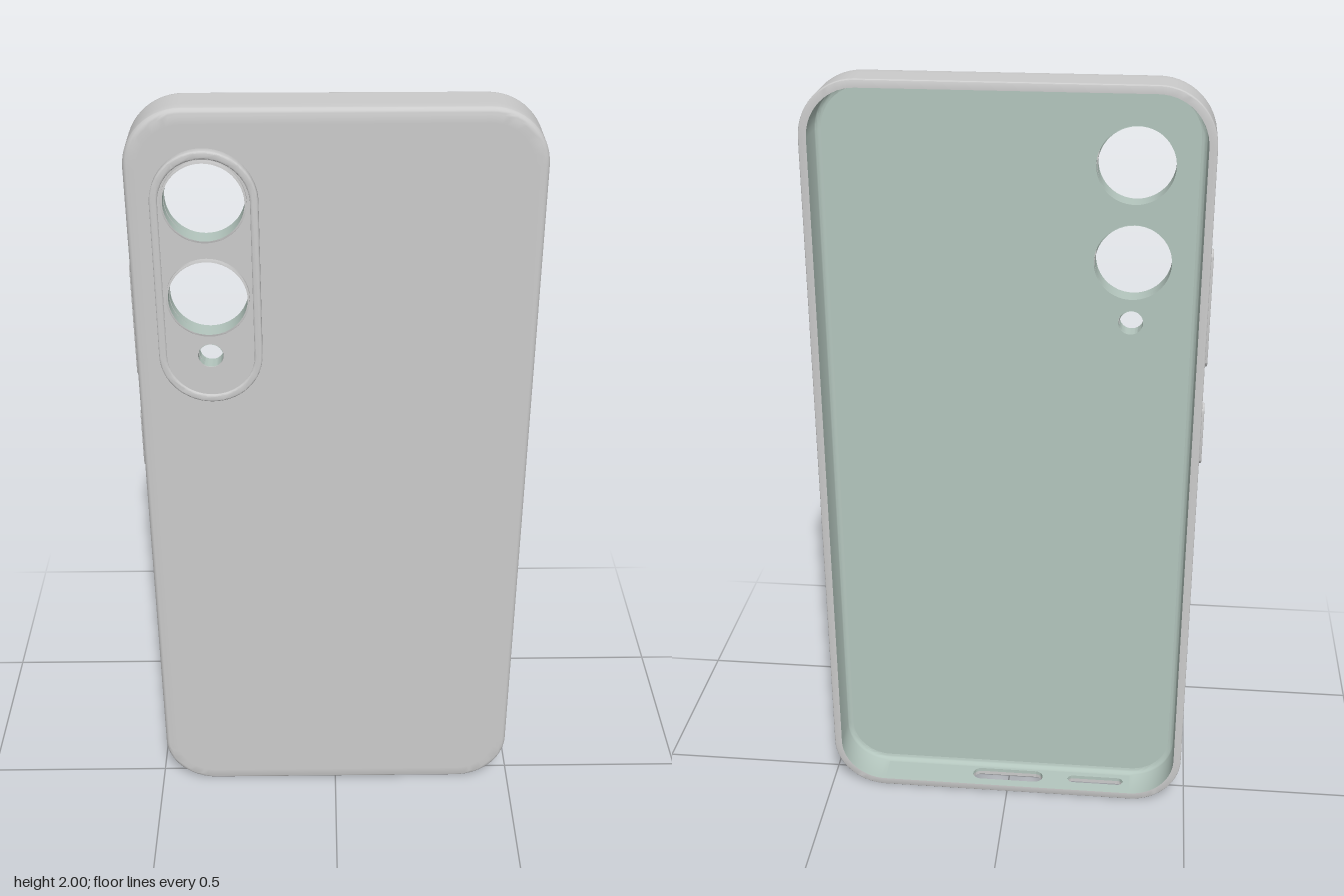
import * as THREE from 'three';
import { toCreasedNormals } from 'three/addons/utils/BufferGeometryUtils.js';

const W = 0.4875, H = 1, R = 0.14;            // body half width, half height, corner radius
const FLOOR = 0.02, FRONT = 0.045, BACK = -0.075, WALL = 0.02;
const BAND = [-0.066, 0.005];                 // flat strip of the walls holding the bottom slots
const CAM_X = -0.302, CAM_TOP = 1.785, CAM_LOW = 1.395;
const HOLES = [[1.79, 0.095], [1.55, 0.095], [CAM_LOW, 0.031]];

const grey = new THREE.MeshStandardMaterial({ color: 0xcccccc });
const greyThin = new THREE.MeshStandardMaterial({ color: 0xcccccc, side: THREE.DoubleSide });
const lining = new THREE.MeshStandardMaterial({ color: 0xb4c6be });
const liningThin = new THREE.MeshStandardMaterial({ color: 0xb4c6be, side: THREE.DoubleSide });

function addMesh(parent, name, geometry, material) {
  const mesh = new THREE.Mesh(toCreasedNormals(geometry, 0.6), material);
  mesh.name = name;
  parent.add(mesh);
  return mesh;
}

// Rounded rectangle, counter-clockwise, ending at the left end of the bottom edge
function outline(inset) {
  const points = [], steps = 14, r = R - inset;
  const corners = [[1, -1], [1, 1], [-1, 1], [-1, -1]];
  corners.forEach(([sx, sy], c) => {
    for (let i = 0; i <= steps; i++) {
      const a = (c - 1 + i / steps) * Math.PI / 2;
      points.push(new THREE.Vector2(sx * (W - R) + r * Math.cos(a), H + sy * (H - R) + r * Math.sin(a)));
    }
  });
  return points;
}

// Sweeps a profile of [inset, z] around the outline, leaving the slot panel open
function sweep(profile) {
  const positions = [], index = [];
  const n = outline(0).length;
  profile.forEach(([inset, z]) => outline(inset).forEach(p => positions.push(p.x, p.y, z)));
  for (let j = 0; j < profile.length - 1; j++) {
    const zs = [profile[j][1], profile[j + 1][1]];
    const isBand = Math.min(...zs) === BAND[0] && Math.max(...zs) === BAND[1];
    for (let i = 0; i < n; i++) {
      if (isBand && i === n - 1) continue;
      const a = j * n + i, b = j * n + (i + 1) % n;
      index.push(a, b, b + n, a, b + n, a + n);
    }
  }
  const geometry = new THREE.BufferGeometry();
  geometry.setAttribute('position', new THREE.Float32BufferAttribute(positions, 3));
  geometry.setIndex(index);
  return geometry;
}

// Quarter-round profile points between two directions
function fillet(inset, z, r, from, to) {
  return Array.from({ length: 6 }, (_, i) => {
    const a = from + (to - from) * i / 5;
    return [inset + r * Math.cos(a), z + r * Math.sin(a)];
  });
}

// Upright pill shape
function pill(x, low, high, r, Type = THREE.Shape) {
  const s = new Type();
  s.absarc(x, high, r, 0, Math.PI);
  s.absarc(x, low, r, Math.PI, Math.PI * 2);
  s.closePath();
  return s;
}

function circlePath(x, y, r) {
  return new THREE.Path().absarc(x, y, r, 0, Math.PI * 2);
}

function withCameraHoles(shape) {
  HOLES.forEach(([y, r]) => shape.holes.push(circlePath(CAM_X, y, r)));
  return shape;
}

function extrude(shape, from, to, bevel = 0) {
  const geometry = new THREE.ExtrudeGeometry(shape, {
    depth: to - from - bevel * 2, curveSegments: 28, bevelEnabled: bevel > 0,
    bevelSize: bevel, bevelThickness: bevel, bevelOffset: -bevel, bevelSegments: 3,
  });
  return geometry.translate(0, 0, from + bevel);
}

export function createModel() {
  const group = new THREE.Group();
  group.name = 'phoneCase';
  const body = new THREE.Group();
  body.name = 'body';
  body.position.x = 0.002;
  group.add(body);

  // Outer wall: rim, flat side, rounded front edge
  const PI = Math.PI, f = 0.015;
  addMesh(body, 'outerWall', sweep([
    [WALL, BACK], ...fillet(0.004, BACK + 0.004, 0.004, -PI / 2, -PI),
    [0, BAND[0]], [0, BAND[1]],
    ...fillet(f, FRONT - f, f, PI, PI / 2), [WALL + f, FRONT],
  ]), grey);

  // Inner wall with a rounded join to the floor
  addMesh(body, 'innerWall', sweep([
    ...fillet(WALL + f, BAND[1], f, PI / 2, PI).slice(0, 5),
    [WALL, BAND[1]], [WALL, BAND[0]], [WALL, BACK],
  ]), lining);

  // Back plate: outside face and lined inside face, both pierced for the camera
  const plate = () => withCameraHoles(new THREE.Shape(outline(WALL + f)));
  addMesh(body, 'outerFace', new THREE.ShapeGeometry(plate(), 28).translate(0, 0, FRONT), grey);
  addMesh(body, 'innerFloor', extrude(plate(), FLOOR, FRONT - 0.002), lining);

  // Bottom panel with charging port and speaker slots, in two layers
  const panel = new THREE.Shape();
  const px = W - R;
  panel.moveTo(-px, BAND[0]).lineTo(px, BAND[0]).lineTo(px, BAND[1]).lineTo(-px, BAND[1]).closePath();
  [[0, 0.1, 0.024], [-0.25, 0.078, 0.015]].forEach(([x, half, r]) => {
    const slot = new THREE.Path();
    slot.absarc(x + half - r, -0.025, r, -PI / 2, PI / 2);
    slot.absarc(x - half + r, -0.025, r, PI / 2, PI * 1.5);
    slot.closePath();
    panel.holes.push(slot);
  });
  [['bottomPanelInner', WALL, lining], ['bottomPanelOuter', WALL / 2, grey]].forEach(([name, y, material]) => {
    addMesh(body, name, extrude(panel, 0, WALL / 2).rotateX(PI / 2).translate(0, y, 0), material);
  });

  // Camera island: pierced base, raised border and lens lips
  const island = new THREE.Group();
  island.name = 'cameraIsland';
  group.add(island);
  addMesh(island, 'islandBase', extrude(withCameraHoles(pill(CAM_X, CAM_LOW, CAM_TOP, 0.118)), FRONT - 0.001, 0.062), grey);
  const border = pill(CAM_X, CAM_LOW, CAM_TOP, 0.125);
  border.holes.push(pill(CAM_X, CAM_LOW, CAM_TOP, 0.106, THREE.Path));
  addMesh(island, 'islandBorder', extrude(border, FRONT - 0.005, 0.067, 0.004), grey);
  HOLES.forEach(([y, r], i) => {
    const top = i < 2 ? 0.072 : 0.062;
    const tunnel = new THREE.CylinderGeometry(r - 0.001, r - 0.001, top - FLOOR, 48, 1, true);
    tunnel.rotateX(PI / 2).translate(CAM_X, y, (top + FLOOR) / 2);
    addMesh(island, 'cameraHoleWall', tunnel, liningThin);
    if (i === 2) return;
    const lip = [[r + 0.004, 0.06], [r + 0.004, 0.071], [r + 0.002, 0.072], [r - 0.001, 0.072]];
    const ring = new THREE.LatheGeometry(lip.map(p => new THREE.Vector2(...p)), 48);
    addMesh(island, 'lensLip', ring.rotateX(PI / 2).translate(CAM_X, y, 0), greyThin);
  });

  // Volume and power buttons on the side
  [['volumeButton', 1.305, 1.605], ['powerButton', 1.04, 1.205]].forEach(([name, low, high]) => {
    const r = 0.019;
    const button = extrude(pill(0, low + r, high - r, r), 0, 0.014, 0.003);
    addMesh(group, name, button.rotateY(-PI / 2).translate(-0.4785, 0, -0.022), grey);
  });

  return group;
}
